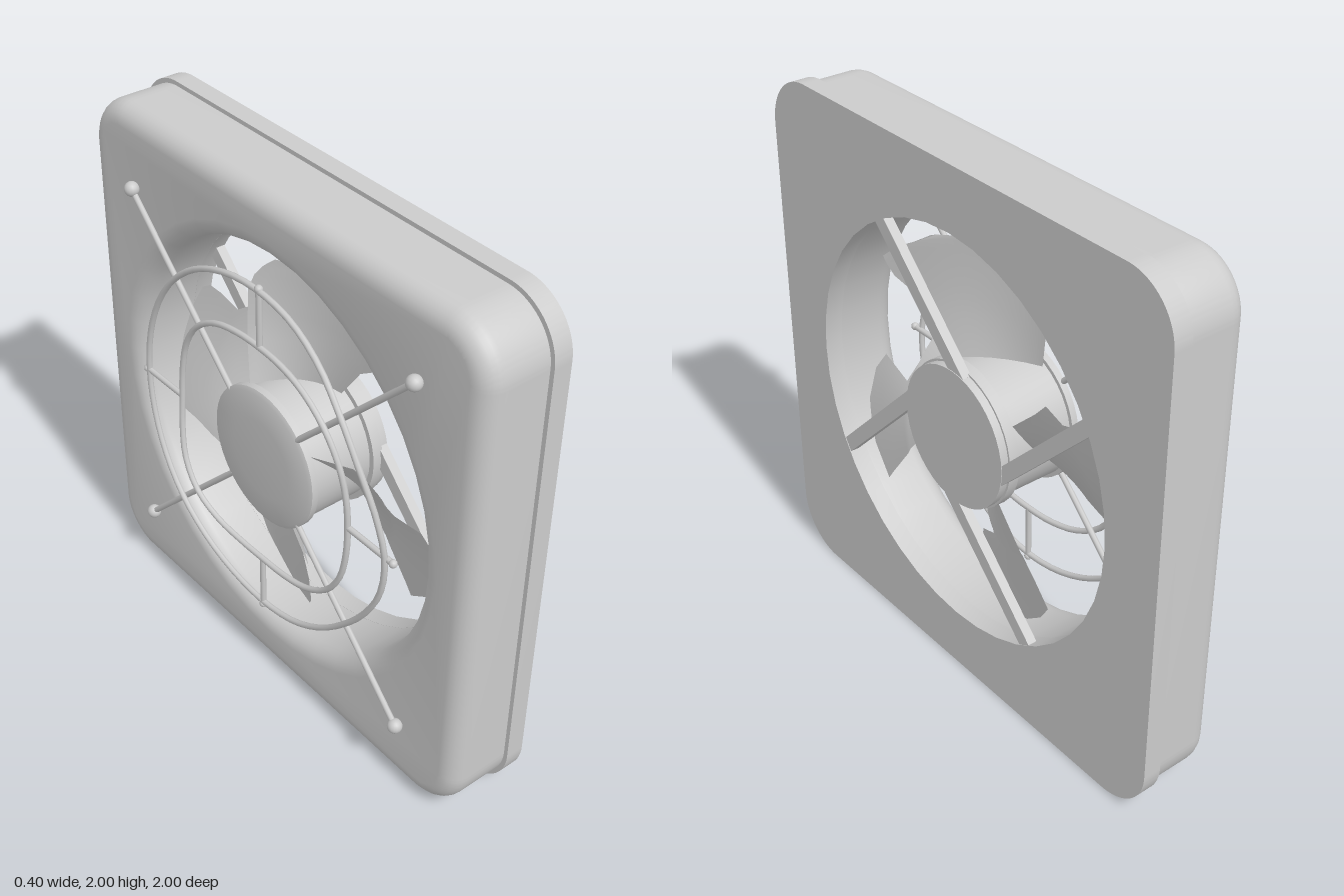
import * as THREE from 'three';
import { toCreasedNormals } from 'three/addons/utils/BufferGeometryUtils.js';

const grey = new THREE.MeshStandardMaterial({ color: 0xcccccc });
const thin = new THREE.MeshStandardMaterial({ color: 0xcccccc, side: THREE.DoubleSide });
const DEG = Math.PI / 180;
const HOLE = 0.765;

// Square with rounded corners and a round opening
function frameShape(half, r) {
  const s = new THREE.Shape();
  const c = half - r;
  s.absarc(c, c, r, 0, Math.PI / 2);
  s.absarc(-c, c, r, Math.PI / 2, Math.PI);
  s.absarc(-c, -c, r, Math.PI, Math.PI * 1.5);
  s.absarc(c, -c, r, Math.PI * 1.5, Math.PI * 2);
  s.closePath();
  const hole = new THREE.Path();
  hole.absarc(0, 0, HOLE, 0, Math.PI * 2, true);
  s.holes.push(hole);
  return s;
}

// Straight wire between two points
function rod(a, b, radius) {
  const curve = new THREE.LineCurve3(new THREE.Vector3(...a), new THREE.Vector3(...b));
  return new THREE.TubeGeometry(curve, 1, radius, 8);
}

// Hand-bent wire ring: radius and depth vary with the angle
function ring(radius, depth) {
  const pts = [];
  for (let i = 0; i < 24; i++) {
    const a = (i / 24) * Math.PI * 2;
    const r = radius(a);
    pts.push(new THREE.Vector3(r * Math.cos(a), r * Math.sin(a), depth(a)));
  }
  return new THREE.TubeGeometry(new THREE.CatmullRomCurve3(pts, true), 72, 0.011, 8, true);
}

// Pitched blade skinned over rows of [radius, start angle, end angle]
function blade(base, rows) {
  const cols = 14, pos = [], idx = [];
  rows.forEach(([r, a0, a1], i) => {
    for (let j = 0; j <= cols; j++) {
      const a = a0 + ((a1 - a0) * j) / cols;
      const t = (a + 24) / 62;
      const w = (a + base) * DEG;
      pos.push(r * Math.cos(w), r * Math.sin(w), -0.075 + 0.21 * t + 0.03 * Math.sin(Math.PI * t));
      if (i && j) {
        const q = i * (cols + 1) + j, p = q - cols - 1;
        idx.push(p - 1, q - 1, q, p - 1, q, p);
      }
    }
  });
  const g = new THREE.BufferGeometry();
  g.setAttribute('position', new THREE.Float32BufferAttribute(pos, 3));
  g.setIndex(idx);
  g.computeVertexNormals();
  return g;
}

// Turned part along the fan axis from [radius, depth] points
function turned(points) {
  const g = new THREE.LatheGeometry(points.map(p => new THREE.Vector2(...p)), 40);
  return toCreasedNormals(g.rotateX(Math.PI / 2), 0.6);
}

export function createModel() {
  const model = new THREE.Group();
  model.name = 'wallFan';
  const fan = new THREE.Group(); // fan axis along local z, turned to x below
  fan.name = 'fanAssembly';
  const add = (name, geo, mat = grey) => {
    const m = new THREE.Mesh(geo, mat);
    m.name = name;
    fan.add(m);
    return m;
  };

  // Housing with rounded edges and flared opening
  const bevel = 0.07;
  const body = new THREE.ExtrudeGeometry(frameShape(0.985, 0.19), {
    depth: 0.305 - 2 * bevel, bevelThickness: bevel, bevelSize: bevel,
    bevelOffset: -bevel, bevelSegments: 6, curveSegments: 20,
  });
  add('housing', toCreasedNormals(body, 0.6)).position.z = -0.11 + bevel;

  // Wall flange
  const flange = new THREE.ExtrudeGeometry(frameShape(1, 0.2), {
    depth: 0.07, bevelEnabled: false, curveSegments: 20,
  });
  add('flange', toCreasedNormals(flange, 0.6)).position.z = 0.13;

  // Hub: thin front cap, rotor and motor plate
  add('hubCap', turned([[0, -0.145], [0.15, -0.143], [0.25, -0.137], [0.265, -0.13],
    [0.265, -0.105], [0, -0.105]]), thin);
  add('rotorHub', turned([[0, -0.106], [0.25, -0.106], [0.25, 0.14], [0, 0.14]]), thin);
  add('motorPlate', turned([[0, 0.13], [0.27, 0.13], [0.27, 0.17], [0.262, 0.17], [0.262, 0.2], [0, 0.2]]), thin);

  // Tangential struts holding the motor
  for (let i = 0; i < 4; i++) {
    const strut = new THREE.BoxGeometry(0.62, 0.055, 0.035);
    strut.translate(0.45, -0.195, 0.18);
    add('motorStrut', strut.rotateZ((45 + 90 * i) * DEG));
  }

  // Blades, some with a notched edge
  const blades = [
    [[0.24, -31, 29], [0.42, -23, 35], [0.5, -20, 37], [0.53, -19, 29], [0.62, -17, 27], [0.68, -12, 25], [0.705, -2, 22], [0.712, 4, 15]],
    [[0.24, -28, 27], [0.4, -23, 30], [0.5, -20, 36], [0.58, -18, 42], [0.63, -15, 43], [0.66, -12, 43], [0.675, -10, 20], [0.69, -8, 0]],
    [[0.24, -32, 25], [0.43, -23, 37], [0.46, 7, 39], [0.61, 2, 43], [0.655, 8, 44], [0.69, 18, 32]],
    [[0.24, -33, 38], [0.45, -21, 40], [0.46, 4, 41], [0.56, -11, 42], [0.66, -10, 42], [0.69, -8, 34], [0.715, 2, 24]],
  ];
  blades.forEach((rows, i) => add('blade', blade(90 * i, rows), thin));

  // Guard rings, each bulging outward in places
  const bump = (a, centre) => Math.max(0, Math.cos(a - centre * DEG)) ** 8;
  add('outerGuardRing', ring(
    a => 0.665 - 0.03 * bump(a, 160) - 0.04 * bump(a, 222) + 0.01 * bump(a, 60),
    a => -0.138 - 0.048 * bump(a, 143) - 0.012 * bump(a, 315)));
  add('innerGuardRing', ring(
    a => 0.475 + 0.02 * Math.cos(4 * a + Math.PI),
    a => -0.138 - 0.03 * bump(a, 320) - 0.02 * bump(a, 135)));

  // Guard wires: long diagonals with ball ends, short straight spokes
  for (let i = 0; i < 4; i++) {
    const turn = i * 90 * DEG;
    add('diagonalWire', rod([0.18, 0.18, -0.125], [0.715, 0.715, -0.13], 0.011).rotateZ(turn));
    add('wireBall', new THREE.SphereGeometry(0.027, 16, 12).translate(0.715, 0.715, -0.13).rotateZ(turn));
    add('guardSpoke', rod([0.45, 0, -0.138], [0.68, 0, -0.138], 0.011).rotateZ(turn));
    add('spokeEnd', new THREE.SphereGeometry(0.015, 10, 8).translate(0.675, 0, -0.138).rotateZ(turn));
  }

  fan.rotation.y = Math.PI / 2;
  fan.position.y = 1;
  model.add(fan);
  return model;
}
